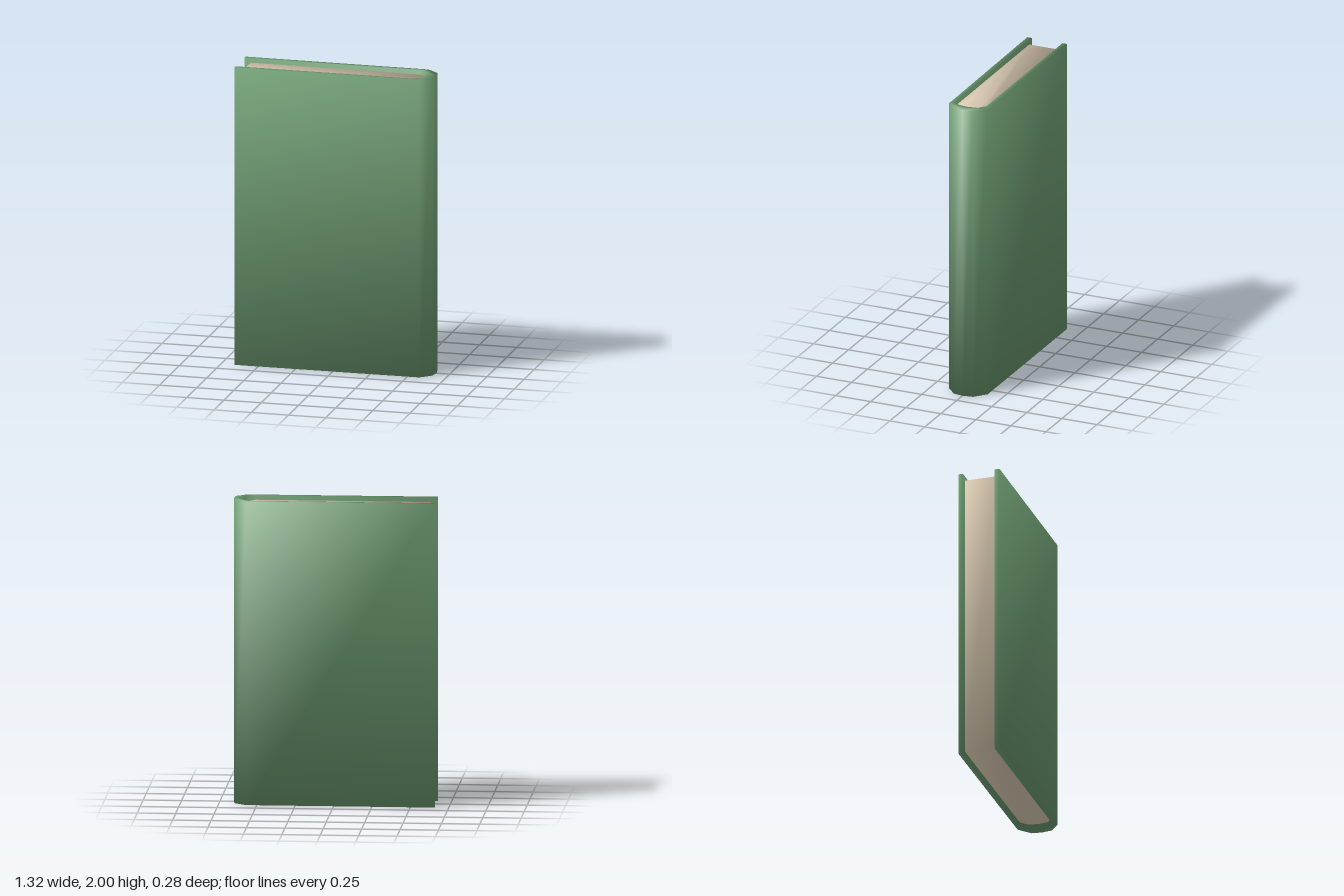
import * as THREE from 'three';

// Upright prism over an anticlockwise outline of [x, z] points, with soft
// corner normals weighted by the angle of each face at the corner.
function prism(outline, y0, y1) {
  const pts = outline.map(([x, z]) => new THREE.Vector2(x, -z));
  const n = pts.length;
  const position = [], normal = [], index = [];

  for (const [y, up] of [[y0, -1], [y1, 1]]) {
    pts.forEach((p, i) => {
      const before = p.clone().sub(pts[(i + n - 1) % n]).normalize();
      const after = pts[(i + 1) % n].clone().sub(p).normalize();
      const turn = Math.atan2(before.cross(after), before.dot(after));
      const dir = before.add(after).multiplyScalar(Math.PI / 2);
      const nrm = new THREE.Vector3(dir.y, up * (Math.PI - turn), dir.x).normalize();
      position.push(p.x, y, -p.y);
      normal.push(nrm.x, nrm.y, nrm.z);
    });
  }

  // walls
  for (let i = 0; i < n; i++) {
    const j = (i + 1) % n;
    index.push(i, j, n + j, i, n + j, n + i);
  }
  // top and bottom
  for (const [a, b, c] of THREE.ShapeUtils.triangulateShape(pts, [])) {
    index.push(n + a, n + b, n + c, a, c, b);
  }

  const geometry = new THREE.BufferGeometry();
  geometry.setAttribute('position', new THREE.Float32BufferAttribute(position, 3));
  geometry.setAttribute('normal', new THREE.Float32BufferAttribute(normal, 3));
  geometry.setIndex(index);
  return geometry;
}

export function createModel() {
  const green = new THREE.MeshStandardMaterial({ color: 0x6c9a70 });
  green.name = 'green cloth';
  const cream = new THREE.MeshStandardMaterial({ color: 0xd8c8b0 });
  cream.name = 'cream paper';

  // curved inside and outside of the spine, front to back
  const outer = [[0.58, 0.131], [0.65, 0.067], [0.66, 0], [0.65, -0.071], [0.57, -0.139]];
  const inner = [[0.527, 0.105], [0.58, 0.067], [0.59, 0], [0.58, -0.071], [0.527, -0.111]];

  // boards and spine in one bent strip
  const cover = new THREE.Mesh(prism([
    [-0.66, 0.139], ...outer, [-0.66, -0.142],
    [-0.66, -0.111], ...[...inner].reverse(), [-0.66, 0.106],
  ], 0, 2), green);
  cover.name = 'cover';

  // page block, set back from the cover edges
  const pages = new THREE.Mesh(prism([
    [-0.617, 0.106], ...inner, [-0.617, -0.111],
  ], 0.03, 1.97), cream);
  pages.name = 'pages';

  const book = new THREE.Group();
  book.name = 'book';
  book.add(cover, pages);
  return book;
}
